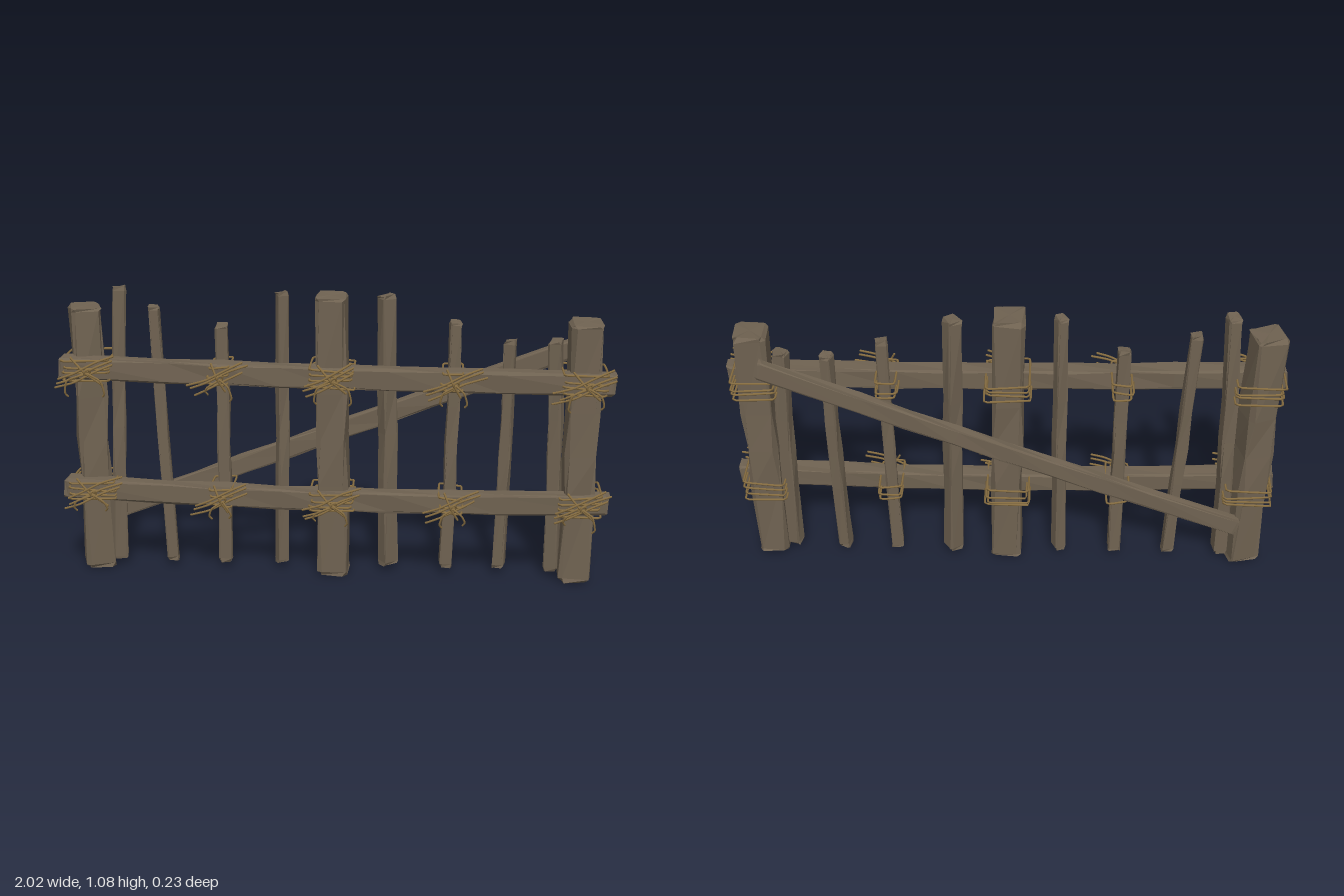
import * as THREE from 'three';

const V = (x, y, z) => new THREE.Vector3(x, y, z);
const wood = new THREE.MeshStandardMaterial({ color: 0x6f6251, flatShading: true });
wood.name = 'weathered wood';
const rope = new THREE.MeshStandardMaterial({ color: 0x8a7043 });
rope.name = 'rope';

let seed = 7;
function rnd(a = 1) { // seeded, -a..a
  seed = (seed * 16807) % 2147483647;
  return (seed / 2147483647 * 2 - 1) * a;
}

// Rough-hewn timber from a to b: chamfered square section, worn ends, slight bend
function timber(name, a, b, w, d, { twist = 0, bend = V(0, 0, 0), rows = 6, chamfer = 0.1, rough = 0.05, taper = 0 } = {}) {
  const geo = new THREE.CylinderGeometry(1, 1, 1, 8, rows, false, Math.PI / 8);
  const dir = b.clone().sub(a).normalize();
  const side = dir.clone().cross(V(0, 0, 1)).normalize();
  const out = side.clone().cross(dir);
  side.applyAxisAngle(dir, twist);
  out.applyAxisAngle(dir, twist);
  const len = a.distanceTo(b), phase = rnd(20);
  const pos = geo.attributes.position;
  const p = new THREE.Vector3();
  for (let i = 0; i < pos.count; i++) {
    p.fromBufferAttribute(pos, i);
    const row = Math.round((p.y + 0.5) * rows);
    const end = row === 0 || row === rows;
    const t = row === 1 ? 0.012 / len : row === rows - 1 ? 1 - 0.012 / len : row / rows;
    let x = 0, z = 0, lift = 0;
    if (Math.hypot(p.x, p.z) > 0.5) {
      const oct = Math.floor(((Math.atan2(p.x, p.z) + 2 * Math.PI) % (2 * Math.PI)) / (Math.PI / 4));
      const wideX = Math.abs(p.x) > Math.abs(p.z);
      x = Math.sign(p.x) * (wideX ? 0.5 : 0.5 - chamfer);
      z = Math.sign(p.z) * (wideX ? 0.5 - chamfer : 0.5);
      const k = (end ? 0.92 : 1) * (1 - taper * t);
      x = x * k + Math.sin(row * 2.9 + oct * 4.7 + phase) * rough;
      z = z * k + Math.sin(row * 3.7 + oct * 2.3 + phase * 2) * rough;
      lift = end ? Math.sin(oct * 0.8 + phase) * 0.005 : 0;
    }
    p.lerpVectors(a, b, t).addScaledVector(bend, Math.sin(Math.PI * t))
      .addScaledVector(side, x * w).addScaledVector(out, z * d).addScaledVector(dir, lift);
    pos.setXYZ(i, p.x, p.y, p.z);
  }
  geo.computeVertexNormals();
  const mesh = new THREE.Mesh(geo, wood);
  mesh.name = name;
  return mesh;
}

function strand(name, points, closed = false, r = 0.0042) {
  const curve = new THREE.CatmullRomCurve3(points, closed, 'catmullrom', 0.3);
  const mesh = new THREE.Mesh(new THREE.TubeGeometry(curve, closed ? 40 : 14, r, 5, closed), rope);
  mesh.name = name;
  if (!closed) { // plug the cut ends
    for (const q of [points[0], points[points.length - 1]]) {
      const tip = new THREE.Mesh(new THREE.SphereGeometry(r, 5, 4), rope);
      tip.name = 'ropeTip';
      tip.position.copy(q);
      mesh.add(tip);
    }
  }
  return mesh;
}

// Rope lashing: wraps round post and rail, crossed strands in front, loose ends
function lashing(x, y, half, back, wraps, reach) {
  const g = new THREE.Group();
  g.name = 'lashing';
  for (let i = 0; i < wraps; i++) {
    const h = ((i + 0.5) / wraps - 0.5) * 0.085;
    const l = x - half - rnd(0.006), r = x + half + rnd(0.006);
    const f = 0.085 + rnd(0.006), b = back + rnd(0.005);
    const y0 = y + h + rnd(0.006), y1 = y + h + rnd(0.008), c = 0.012;
    g.add(strand('ropeWrap', [
      V(l + c, y0, f), V(r - c, y1, f), V(r, y1, f - c), V(r, y1, b + c),
      V(r - c, y1, b), V(l + c, y0, b), V(l, y0, b + c), V(l, y0, f - c),
    ], true));
  }
  // slanted strands over the rail
  for (let i = 0; i < 3; i++) {
    const o = (i - 1) * 0.018 + rnd(0.005), z = 0.093 + i * 0.004;
    g.add(strand('crossStrand', [
      V(x - reach + rnd(0.02), y - 0.045 + o, z - 0.006),
      V(x - reach * 0.4, y - 0.022 + o, z + 0.004),
      V(x + reach * 0.4, y + 0.02 + o, z + 0.004),
      V(x + reach + rnd(0.02), y + 0.042 + o, z - 0.006),
    ]));
  }
  g.add(strand('counterStrand', [
    V(x - half * 0.6, y + 0.05, 0.09), V(x, y, 0.106), V(x + half * 0.7, y - 0.05, 0.09),
  ]));
  // knot and dangling ends
  const knot = new THREE.Mesh(new THREE.TorusGeometry(0.011, 0.0045, 5, 10), rope);
  knot.name = 'knot';
  knot.position.set(x + 0.01, y, 0.104);
  knot.rotation.set(0.4, 0.5, 0);
  g.add(knot);
  for (const s of [-1, 1]) {
    const dx = x + s * (half * 0.5 + 0.015) + rnd(0.01), drop = 0.065 + rnd(0.018);
    g.add(strand('looseEnd', [
      V(x + 0.01, y - 0.005, 0.104), V(dx, y - 0.03, 0.108),
      V(dx + s * 0.012, y - drop, 0.1), V(dx + s * 0.004, y - drop - 0.014, 0.092),
    ], false, 0.0038));
  }
  return g;
}

export function createModel() {
  const model = new THREE.Group();
  model.name = 'fence';

  // Posts
  model.add(
    timber('leftEndPost', V(0.89, 0, -0.013), V(0.897, 0.972, -0.015), 0.112, 0.128, { twist: 0.04 }),
    timber('middlePost', V(-0.003, 0, -0.015), V(-0.013, 1.055, -0.018), 0.11, 0.13, { twist: -0.03 }),
    timber('rightEndPost', V(-0.897, 0, -0.025), V(-0.912, 1.0, -0.027), 0.11, 0.115, { twist: 0.3 }),
  );

  // Pickets: bottom x, top x, top y, z, width, depth, twist
  const pickets = [
    [-0.82, -0.785, 1.072, -0.033, 0.05, 0.056, 0.2],
    [-0.618, -0.662, 1.0, -0.038, 0.042, 0.046, 0.1],
    [-0.416, -0.415, 0.935, -0.04, 0.048, 0.05, 0.05],
    [-0.204, -0.194, 1.06, -0.036, 0.042, 0.045, 0.45],
    [0.197, 0.183, 1.052, -0.045, 0.058, 0.056, 0.6],
    [0.415, 0.434, 0.96, -0.042, 0.045, 0.05, 0.1],
    [0.614, 0.631, 0.894, -0.042, 0.042, 0.05, -0.25],
    [0.81, 0.793, 0.9, -0.032, 0.05, 0.05, -0.3],
  ];
  for (const [x0, x1, top, z, w, d, twist] of pickets) {
    model.add(timber('picket', V(x0, 0.02, z + 0.004), V(x1, top, z), w, d,
      { twist, bend: V(rnd(0.005), 0, rnd(0.004)), rough: 0.06, taper: 0.06 }));
  }

  // Rails across the front
  model.add(
    timber('upperRail', V(-1, 0.787, 0.037), V(1, 0.76, 0.037), 0.08, 0.064,
      { bend: V(0, -0.008, -0.006), rows: 10, rough: 0.04 }),
    timber('lowerRail', V(-1, 0.327, 0.037), V(1, 0.308, 0.037), 0.076, 0.064,
      { bend: V(0, -0.02, -0.006), rows: 10, rough: 0.04 }),
  );

  // Diagonal brace across the back
  model.add(timber('diagonalBrace', V(-0.87, 0.182, -0.086), V(0.87, 0.862, -0.09), 0.07, 0.034,
    { bend: V(0, 0, -0.01), rows: 10, rough: 0.04 }));

  // Lashings at both rails: x, upper y, lower y, half width, back z, wraps, reach
  const ties = [
    [-0.895, 0.784, 0.322, 0.085, -0.1, 4, 0.1],
    [-0.415, 0.77, 0.307, 0.037, -0.076, 3, 0.1],
    [-0.008, 0.77, 0.298, 0.077, -0.093, 4, 0.09],
    [0.428, 0.763, 0.3, 0.038, -0.078, 3, 0.1],
    [0.895, 0.762, 0.308, 0.074, -0.09, 4, 0.1],
  ];
  for (const [x, yu, yl, half, back, wraps, reach] of ties) {
    model.add(lashing(x, yu, half, back, wraps, reach), lashing(x, yl, half, back, wraps, reach));
  }
  return model;
}
